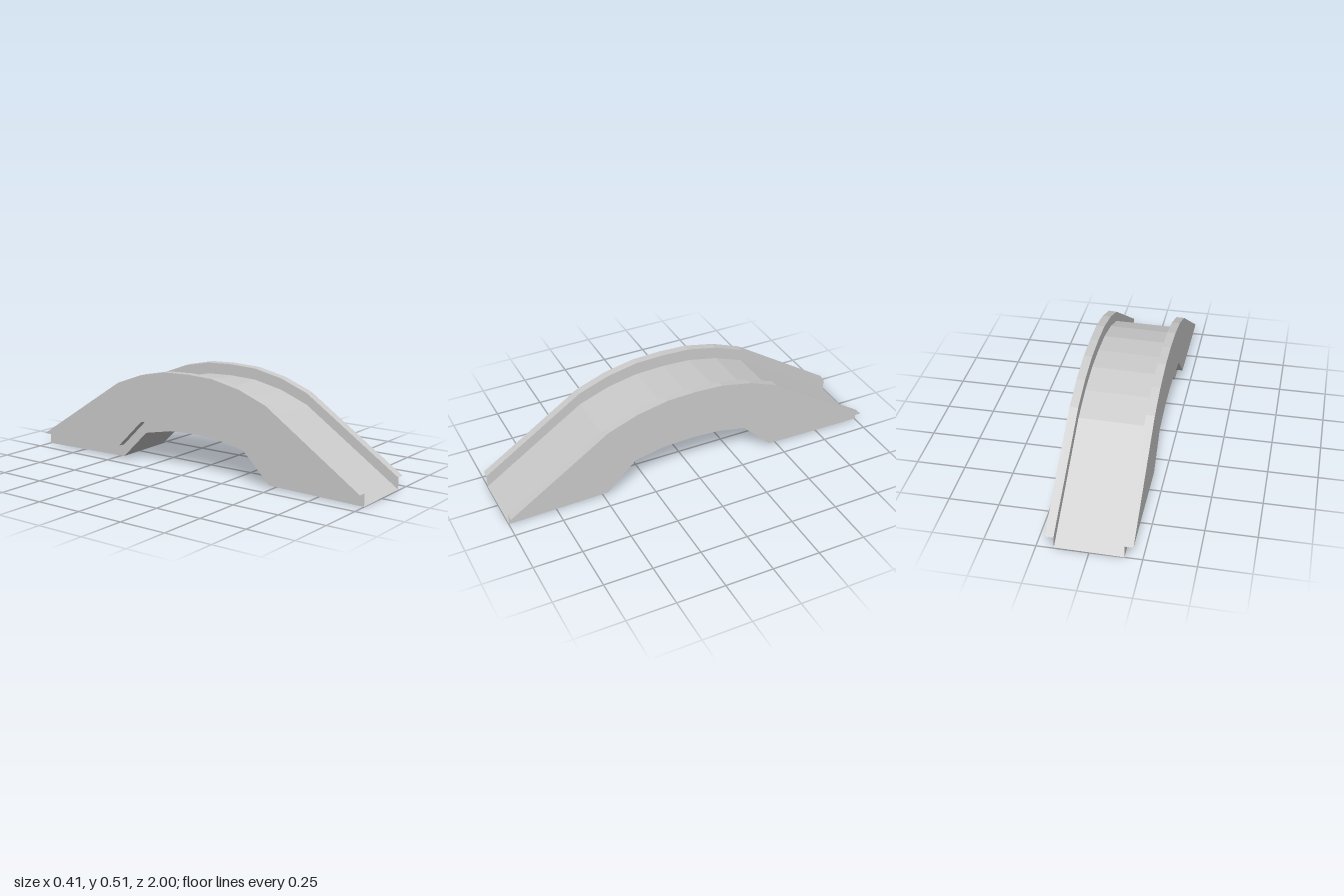
import * as THREE from 'three';

// Stations along the bridge: [z, underside height, roadway height]
const stations = [
  [1, 0.005, 0.005], [0.475, 0.015, 0.354], [0.32, 0.165, 0.412], [0.16, 0.197, 0.445],
  [0.01, 0.204, 0.451], [-0.14, 0.197, 0.445], [-0.3, 0.165, 0.412], [-0.455, 0.015, 0.354], [-1, 0.005, 0.005],
];
const inner = 0.165, outer = 0.207, lip = 0.06;
const UNDER = 1, ROAD = 2;

// Sweeps an open section of [x, base level, lift] points, listed counter-clockwise from the front
function sweep(section) {
  const at = (s, [x, level, lift]) => [x, stations[s][level] + lift, stations[s][0]];
  const pos = [];
  for (let s = 0; s < stations.length - 1; s++) {
    for (let k = 0; k < section.length - 1; k++) {
      const a = at(s, section[k]), b = at(s, section[k + 1]);
      const c = at(s + 1, section[k + 1]), d = at(s + 1, section[k]);
      pos.push(...a, ...d, ...c, ...a, ...c, ...b);
    }
  }
  const geo = new THREE.BufferGeometry();
  geo.setAttribute('position', new THREE.Float32BufferAttribute(pos, 3));
  geo.computeVertexNormals();
  return geo;
}

export function createModel() {
  const group = new THREE.Group();
  const material = new THREE.MeshStandardMaterial({ color: 0xcccccc, flatShading: true });
  const add = (name, section) => {
    const mesh = new THREE.Mesh(sweep(section), material);
    mesh.name = name;
    group.add(mesh);
  };

  // Arched slab: underside with its side edges, slightly lower on the right
  add('archUnderside', [
    [-inner, UNDER, lip], [-inner, UNDER, -0.005], [inner, UNDER, 0], [inner, UNDER, lip],
  ]);
  add('roadway', [[inner, ROAD, 0], [-inner, ROAD, -0.005]]);

  // Parapets overhang the slab and taper to a point at both ends
  add('leftParapet', [
    [inner, UNDER, lip], [outer, UNDER, lip], [outer, ROAD, lip], [inner, ROAD, lip - 0.002], [inner, ROAD, 0],
  ]);
  add('rightParapet', [
    [-inner, ROAD, -0.005], [-inner, ROAD, lip], [-outer, ROAD, lip], [-outer, UNDER, lip], [-inner, UNDER, lip],
  ]);
  return group;
}
